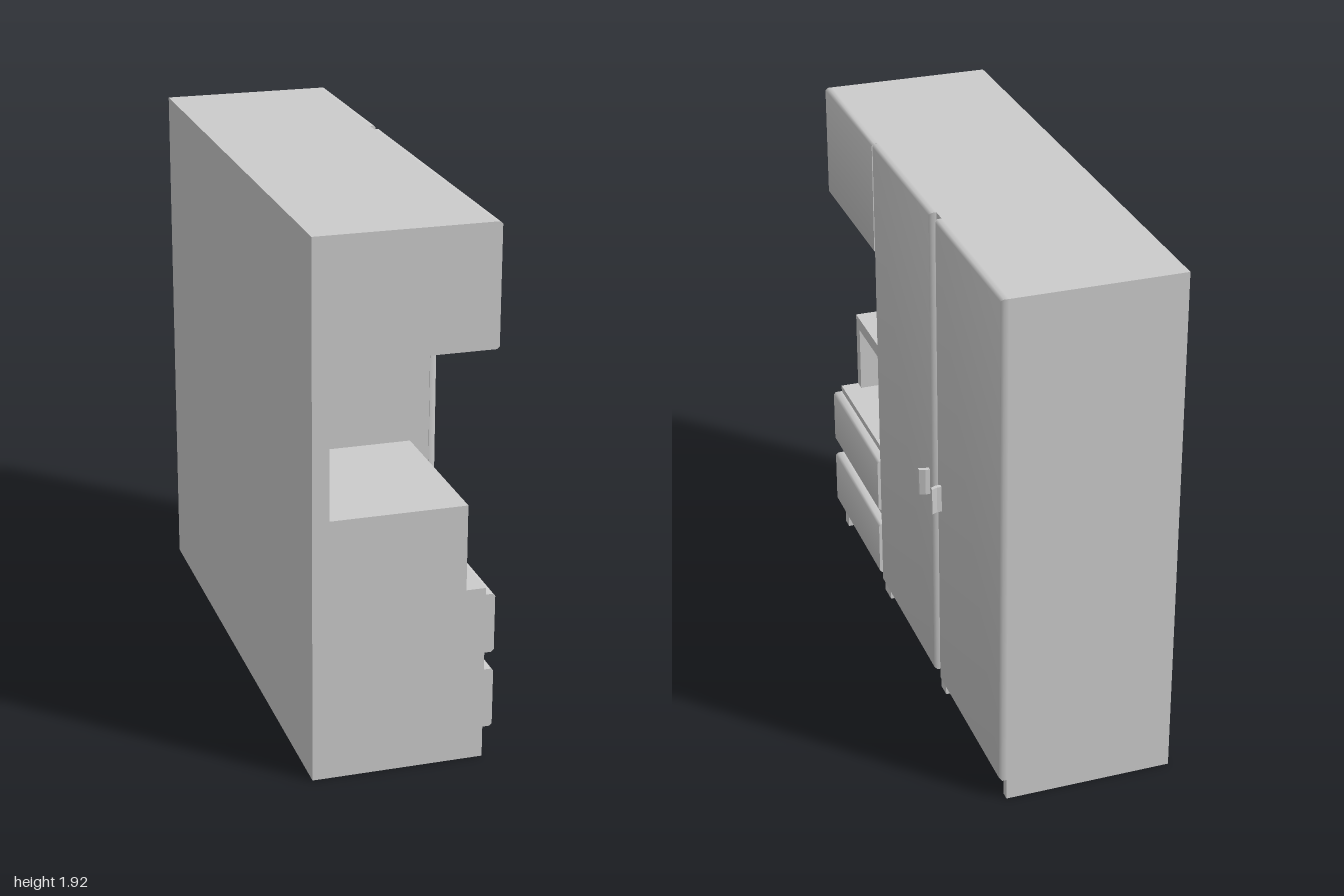
import * as THREE from 'three';
import { toCreasedNormals } from 'three/addons/utils/BufferGeometryUtils.js';
import { ConvexGeometry } from 'three/addons/geometries/ConvexGeometry.js';

export function createModel() {
  const model = new THREE.Group();
  model.name = 'wardrobe';
  const mat = new THREE.MeshStandardMaterial({ color: 0xcccccc });
  const T = 0.004; // sheet thickness
  const BACK = -0.34, FRONT = 0.27, SPLIT = 0.385, KICK = 0.17, KICK_TOP = 0.11;

  const add = (name, geometry) => {
    const mesh = new THREE.Mesh(geometry, mat);
    mesh.name = name;
    model.add(mesh);
    return mesh;
  };
  const box = (name, x0, x1, y0, y1, z0, z1) => {
    const mesh = add(name, new THREE.BoxGeometry(x1 - x0, y1 - y0, z1 - z0));
    mesh.position.set((x0 + x1) / 2, (y0 + y1) / 2, (z0 + z1) / 2);
  };
  // Front slab with softened edges; bz = 0 leaves its ends square
  const slab = (name, x1, y0, y1, z0, z1, b, bz) => {
    const points = [];
    for (const [x, iy, iz] of [[FRONT, 0, 0], [x1 - b, 0, 0], [x1, b, bz]])
      for (const y of [y0 + iy, y1 - iy])
        for (const z of [z0 + iz, z1 - iz]) points.push(new THREE.Vector3(x, y, z));
    add(name, toCreasedNormals(new ConvexGeometry(points), 0.9));
  };

  // Carcass, hollow and open underneath
  box('backPanel', BACK, BACK + T, 0, 1.92, -1, 1);
  box('topPanel', BACK, FRONT, 1.92 - T, 1.92, -1, 1);
  box('closedEndPanel', BACK, FRONT, 0, 1.92, -1, -1 + T);
  box('partition', BACK, FRONT, 0.08, 1.92, SPLIT - T, SPLIT);
  box('wardrobeFront', FRONT - T, FRONT, KICK_TOP, 1.92, -1, SPLIT);
  box('drawerFrontFrame', FRONT - T, FRONT, KICK_TOP, 0.64, SPLIT, 1);
  box('upperCabinetFront', FRONT - T, FRONT, 1.49, 1.92, SPLIT, 1);

  // Open end panel, cut away around the niche
  const end = new THREE.Shape([
    [BACK, 0], [FRONT, 0], [FRONT, 0.64], [0.2, 0.64], [0.2, 0.95],
    [-0.28, 0.95], [-0.28, 1.49], [FRONT, 1.49], [FRONT, 1.92], [BACK, 1.92],
  ].map(([x, y]) => new THREE.Vector2(x, y)));
  add('openEndPanel', new THREE.ExtrudeGeometry(end, { depth: T, bevelEnabled: false }))
    .position.z = 1 - T;

  // Niche and shelf
  box('nicheBack', -0.28 - T, -0.28, 0.64, 1.49, SPLIT, 1);
  box('nicheCeiling', -0.28, FRONT, 1.49, 1.49 + T, SPLIT, 1);
  box('nicheFloor', -0.28, FRONT, 0.64 - T, 0.64, SPLIT, 1);
  box('shelf', -0.28, 0.2, 0.9, 0.95, SPLIT, 1);
  box('shelfSupport', -0.28, 0.2, 0.64, 0.9, 0.955, 1);

  // Feet and recessed kick boards, folded from one strip
  const feet = [[-1, -0.97], [-0.335, -0.28], [0.36, 0.435], [0.955, 1]];
  feet.forEach(([z0, z1], i) => {
    box('footFront', FRONT - T, FRONT, 0, KICK_TOP, z0, z1);
    if (i > 0) box('footSide', KICK, FRONT, 0, KICK_TOP, z0, z0 + T);
    if (i < 3) {
      box('footSide', KICK, FRONT, 0, KICK_TOP, z1 - T, z1);
      box('kickBoard', KICK - T, KICK, 0, KICK_TOP, z1, feet[i + 1][0]);
      box('kickCeiling', KICK - T, FRONT, KICK_TOP, KICK_TOP + T, z1, feet[i + 1][0]);
    }
  });

  // Doors and drawers
  slab('door', 0.295, 0.08, 1.92, -0.28, 0.388, 0.009, 0.009);
  slab('door', 0.295, 0.08, 1.92, -1, -0.335, 0.009, 0.009);
  slab('upperFlap', 0.295, 1.49, 1.92, 0.39, 1, 0.009, 0);
  slab('drawer', 0.304, 0.113, 0.333, 0.388, 1, 0.009, 0);
  slab('drawer', 0.304, 0.397, 0.615, 0.388, 1, 0.009, 0);

  // Mirrored bent handles, drawn in plan and extruded upward
  for (const s of [-1, 1]) {
    const plan = new THREE.Shape([
      [0.293, 0.058], [0.312, 0.058], [0.333, 0.067], [0.333, 0.083],
      [0.312, 0.074], [0.293, 0.074],
    ].map(([x, d]) => new THREE.Vector2(x, 0.308 - s * d)));
    const geometry = new THREE.ExtrudeGeometry(plan, { depth: 0.1, bevelEnabled: false });
    geometry.rotateX(-Math.PI / 2);
    add('handle', geometry).position.y = 0.82;
  }
  return model;
}
